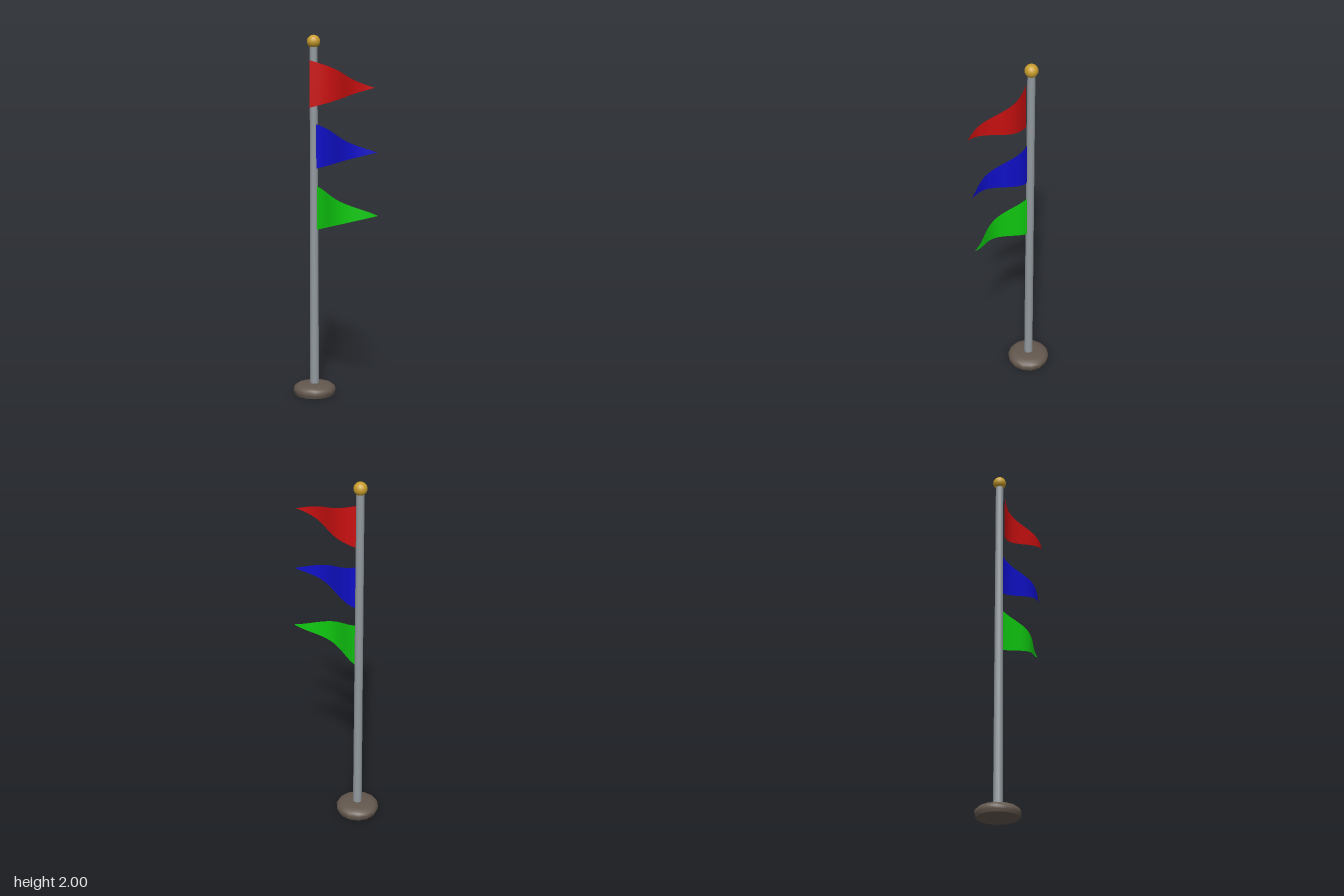
import * as THREE from 'three';

const POLE_X = -0.163;

function material(name, color, side = THREE.FrontSide) {
  const m = new THREE.MeshStandardMaterial({ color, side });
  m.name = name;
  return m;
}

// Triangular pennant rippling along its length
function pennantGeometry(length, height, phase) {
  const geo = new THREE.PlaneGeometry(1, 1, 24, 6);
  const pos = geo.attributes.position;
  for (let i = 0; i < pos.count; i++) {
    const t = pos.getX(i) + 0.5;
    const z = 0.0275 * (1 + Math.sin(Math.PI * 2 * t + phase));
    pos.setXYZ(i, t * length, pos.getY(i) * height * (1 - t), z);
  }
  geo.computeVertexNormals();
  return geo;
}

export function createModel() {
  const group = new THREE.Group();
  group.name = 'pennantPole';

  const add = (name, geo, mat, x, y) => {
    const mesh = new THREE.Mesh(geo, mat);
    mesh.name = name;
    mesh.position.set(x, y, 0);
    group.add(mesh);
  };

  const stone = material('brown stone', 0x63574d);
  const steel = material('grey metal', 0x929a9f);
  const gold = material('gold', 0xc79c2c);

  // Rounded foot with a flat underside
  const profile = [
    [0.112, 0], [0.118, 0.015], [0.12, 0.03], [0.113, 0.043],
    [0.1, 0.053], [0.078, 0.06], [0.04, 0.063], [0, 0.064],
  ].map(([r, y]) => new THREE.Vector2(r, y));
  add('base', new THREE.LatheGeometry(profile, 14, Math.PI / 2), stone, POLE_X, 0);
  const underside = new THREE.CircleGeometry(0.112, 14);
  underside.rotateX(Math.PI / 2);
  add('baseUnderside', underside, stone, POLE_X, 0);

  // Slightly tapered pole and its ball finial
  add('pole', new THREE.CylinderGeometry(0.021, 0.025, 1.94, 14), steel, POLE_X, 0.975);
  add('finial', new THREE.SphereGeometry(0.036, 18, 14), gold, POLE_X, 1.964);

  // Three pennants, each a little further along the ripple
  [
    ['redPennant', 'red', 0xcc1010],
    ['bluePennant', 'blue', 0x1010cc],
    ['greenPennant', 'green', 0x10cc10],
  ].forEach(([name, colorName, color], i) => {
    const cloth = material(colorName, color, THREE.DoubleSide);
    add(name, pennantGeometry(0.438, 0.255, 2.9 + i * 0.85), cloth, POLE_X, 1.738 - i * 0.339);
  });

  return group;
}
